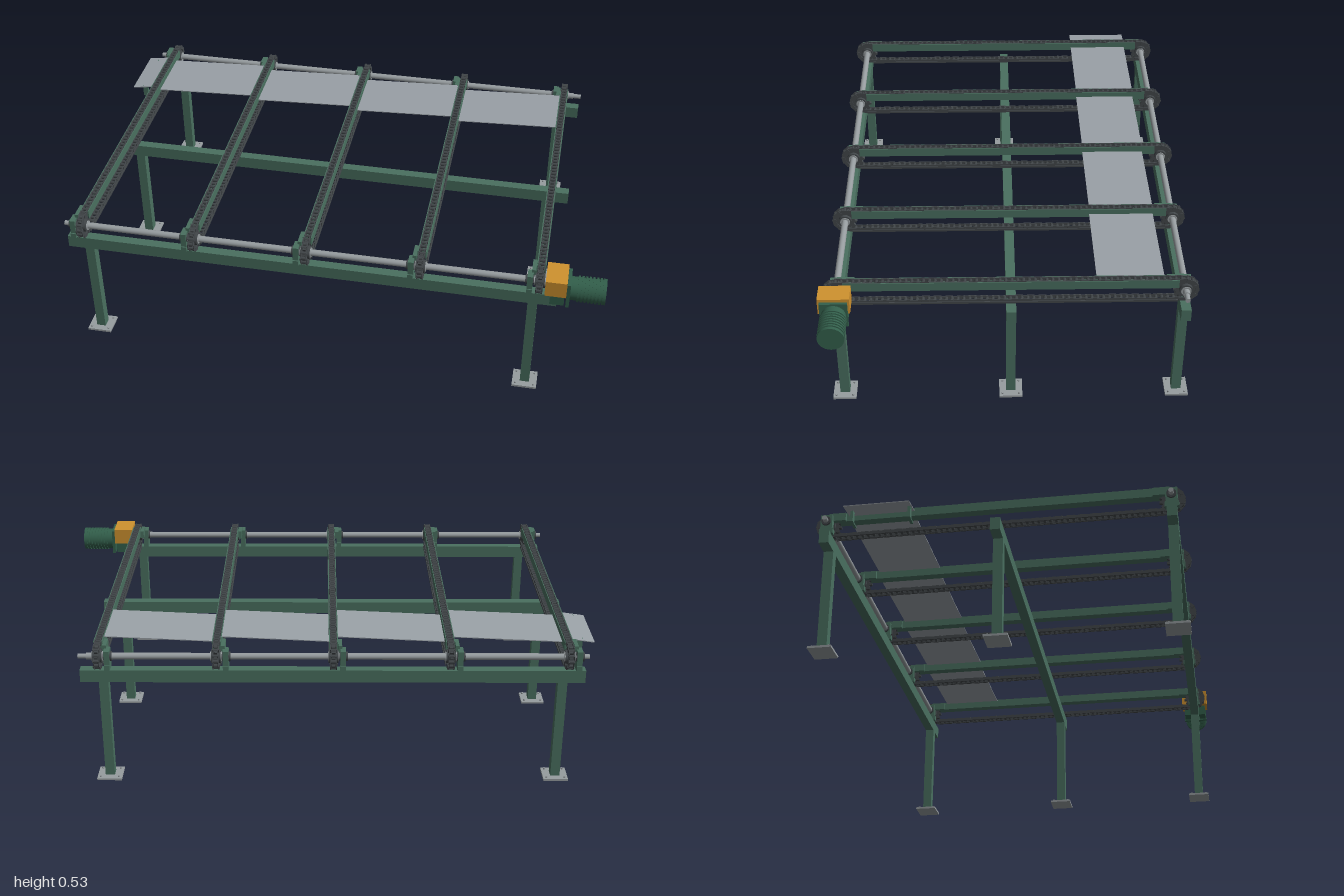
import * as THREE from 'three';
import { mergeGeometries } from 'three/addons/utils/BufferGeometryUtils.js';

const mat = (name, color) => {
  const m = new THREE.MeshStandardMaterial({ color });
  m.name = name;
  return m;
};

const ZF = 0.6, ZB = -0.61, ZM = -0.005;        // drive shaft, tail shaft, middle
const SHAFT_Y = 0.485, PITCH_R = 0.04;
const STRANDS = [-0.9, -0.48, -0.065, 0.35, 0.77];

export function createModel() {
  const green = mat('frame green', 0x4a7060);
  const motorGreen = mat('motor green', 0x33604c);
  const steel = mat('shaft steel', 0x979da0);
  const sheet = mat('sheet grey', 0x9ba2a8);
  const dark = mat('chain dark', 0x42474a);
  const orange = mat('gearbox orange', 0xcf922f);

  const model = new THREE.Group();
  const add = (name, geo, material, x = 0, y = 0, z = 0, parent = model) => {
    const m = new THREE.Mesh(geo, material);
    m.name = name;
    m.position.set(x, y, z);
    parent.add(m);
    return m;
  };
  const box = (name, material, w, h, d, x, y, z, parent) =>
    add(name, new THREE.BoxGeometry(w, h, d), material, x, y, z, parent);
  const rod = (name, material, r, len, x, y, z, parent, sides = 20) =>
    add(name, new THREE.CylinderGeometry(r, r, len, sides).rotateZ(Math.PI / 2), material, x, y, z, parent);

  // Three cross beams, each on two legs with foot plates and anchor bolts
  for (const z of [ZF, ZM, ZB]) {
    box('crossBeam', green, 1.795, 0.047, 0.035, -0.0625, 0.4135, z);
    for (const x of [-0.88, 0.752]) {
      box('leg', green, 0.034, 0.382, 0.035, x, 0.2, z);
      box('footPlate', steel, 0.09, 0.008, 0.084, x, 0.004, z);
      for (const sx of [-1, 1]) for (const sz of [-1, 1])
        add('anchorBolt', new THREE.CylinderGeometry(0.004, 0.004, 0.007, 6), steel,
          x + sx * 0.033, 0.0105, z + sz * 0.03);
    }
  }

  // Drive and tail shafts with stepped ends
  rod('driveShaft', steel, 0.012, 1.74, -0.07, SHAFT_Y, ZF);
  rod('tailShaft', steel, 0.012, 1.75, -0.065, SHAFT_Y, ZB);
  for (const z of [ZF, ZB]) rod('shaftEnd', steel, 0.009, 1.81, -0.065, SHAFT_Y, z);

  // Toothed wheel outline
  const gear = new THREE.Shape();
  const teeth = 13;
  for (let i = 0; i < teeth; i++) {
    [[0, 0.035], [0.3, 0.035], [0.5, 0.044], [0.8, 0.044]].forEach(([f, r], k) => {
      const a = (i + f) / teeth * Math.PI * 2;
      gear[i + k === 0 ? 'moveTo' : 'lineTo'](Math.cos(a) * r, Math.sin(a) * r);
    });
  }
  gear.closePath();
  const gearGeo = new THREE.ExtrudeGeometry(gear, { depth: 0.012, bevelEnabled: false })
    .translate(0, 0, -0.006).rotateY(Math.PI / 2);

  // Chain loop: pairs of link plates and rollers along a stadium path
  const run = ZF - ZB, arc = Math.PI * PITCH_R, total = 2 * (run + arc);
  const pathPoint = (s) => {
    s = (s + total) % total;
    if (s < run) return [ZF - s, SHAFT_Y + PITCH_R];
    s -= run;
    if (s < arc) {
      const a = s / PITCH_R;
      return [ZB - Math.sin(a) * PITCH_R, SHAFT_Y + Math.cos(a) * PITCH_R];
    }
    s -= arc;
    if (s < run) return [ZB + s, SHAFT_Y - PITCH_R];
    const a = (s - run) / PITCH_R;
    return [ZF + Math.sin(a) * PITCH_R, SHAFT_Y - Math.cos(a) * PITCH_R];
  };
  const links = 132, pitch = total / links, parts = [];
  for (let i = 0; i < links; i++) {
    const [z0, y0] = pathPoint(i * pitch), [z1, y1] = pathPoint((i + 1) * pitch);
    const tilt = -Math.atan2(y1 - y0, z1 - z0);
    const off = i % 2 ? 0.0085 : 0.011;
    for (const s of [-1, 1])
      parts.push(new THREE.BoxGeometry(0.0025, 0.014, pitch * 1.35).rotateX(tilt)
        .translate(s * off, (y0 + y1) / 2, (z0 + z1) / 2));
    parts.push(new THREE.CylinderGeometry(0.006, 0.006, 0.02, 6).rotateZ(Math.PI / 2).translate(0, y0, z0));
  }
  const chainGeo = mergeGeometries(parts);

  // Five chain strands with channel rails, sprockets and bearings
  for (const x of STRANDS) {
    const strand = new THREE.Group();
    strand.name = 'chainStrand';
    strand.position.x = x;
    model.add(strand);
    add('chain', chainGeo, dark, 0, 0, 0, strand);
    box('railFloor', green, 0.028, 0.02, 1.14, 0, 0.507, ZM, strand);
    for (const s of [-1, 1]) {
      box('railSide', green, 0.003, 0.033, 1.16, s * 0.0145, 0.5135, ZM, strand);
      box('returnGuide', dark, 0.003, 0.008, 1.16, s * 0.0145, 0.441, ZM, strand);
    }
    for (const z of [ZF, ZB]) {
      add('sprocket', gearGeo, dark, 0, SHAFT_Y, z, strand);
      rod('sprocketHub', dark, 0.024, 0.034, 0, SHAFT_Y, z, strand);
      rod('hubCollar', steel, 0.018, 0.04, 0, SHAFT_Y, z, strand);
      box('bearingFoot', green, 0.02, 0.02, 0.05, -0.034, 0.447, z, strand);
      box('bearingBlock', green, 0.02, 0.055, 0.042, -0.034, 0.484, z, strand);
      rod('bearingRing', dark, 0.017, 0.03, -0.036, SHAFT_Y, z, strand);
      box('bearingArm', green, 0.014, 0.03, 0.06, -0.024, 0.508, z < 0 ? z + 0.035 : z - 0.035, strand);
    }
  }

  // Slightly sloping slide sheets between the strands
  const slide = (x0, y0, x1, y1) => {
    const m = box('slideSheet', sheet, Math.hypot(x1 - x0, y1 - y0), 0.003, 0.235,
      (x0 + x1) / 2, (y0 + y1) / 2, -0.418);
    m.rotation.z = Math.atan2(y1 - y0, x1 - x0);
  };
  slide(-1, 0.506, -0.915, 0.518);
  for (let i = 0; i < 4; i++) slide(STRANDS[i] + 0.016, 0.508, STRANDS[i + 1] - 0.016, 0.526);
  for (const z of [-0.31, -0.515]) {
    box('sheetBracket', green, 0.02, 0.045, 0.01, -0.95, 0.491, z);
    box('bracketFoot', green, 0.04, 0.006, 0.01, -0.93, 0.471, z);
  }

  // Gear motor on the drive shaft
  box('gearbox', orange, 0.075, 0.062, 0.11, 0.828, 0.496, ZF);
  box('gearboxBase', motorGreen, 0.05, 0.045, 0.09, 0.835, 0.444, ZF);
  box('motorFlange', motorGreen, 0.012, 0.098, 0.096, 0.872, 0.467, ZF);
  rod('motorBody', motorGreen, 0.042, 0.12, 0.93, 0.468, ZF, model, 32);
  for (let i = 0; i < 7; i++) rod('coolingFin', motorGreen, 0.047, 0.007, 0.905 + i * 0.0125, 0.468, ZF, model, 32);
  rod('fanCover', motorGreen, 0.046, 0.012, 0.994, 0.468, ZF, model, 32);

  return model;
}
